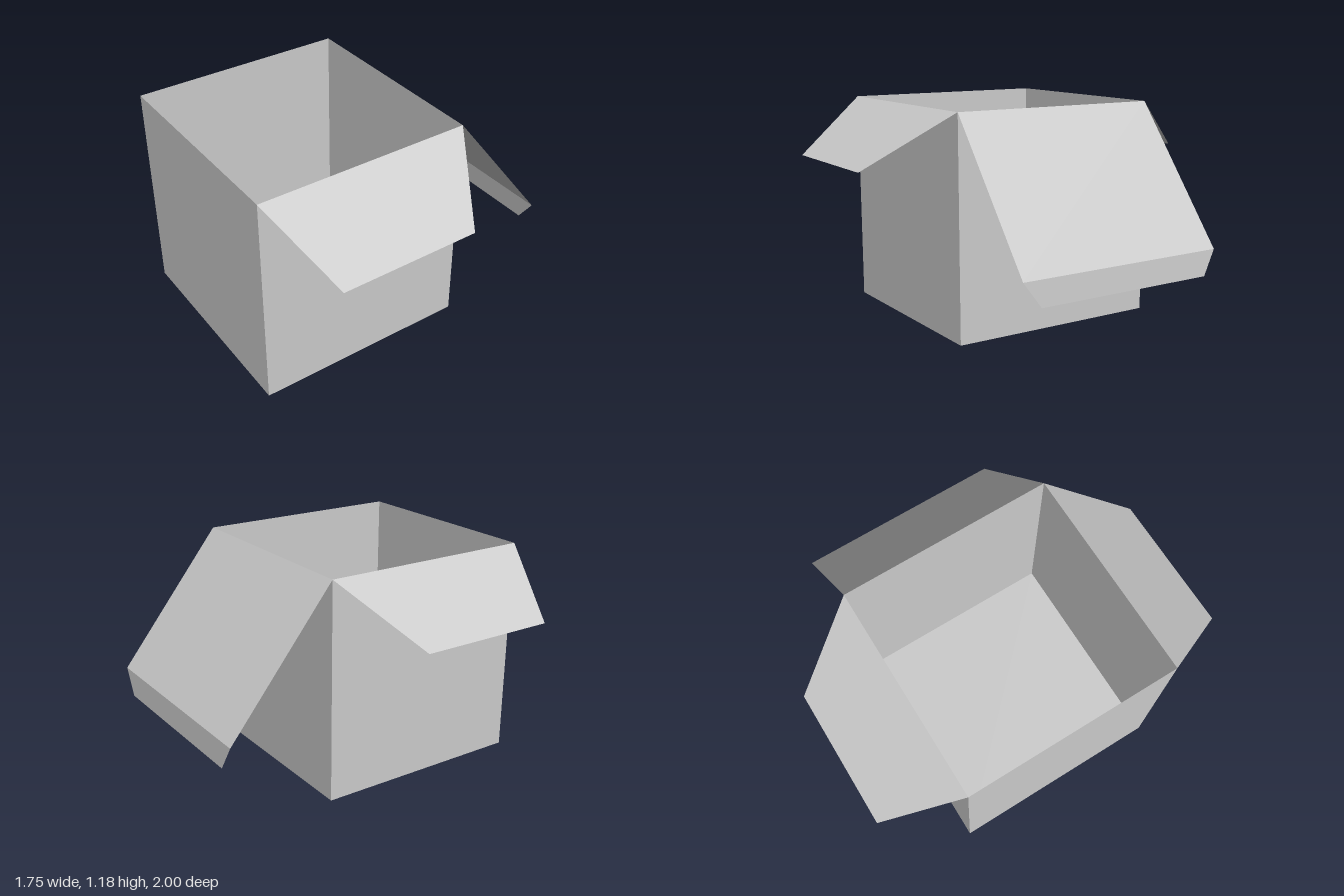
import * as THREE from 'three';

export function createModel() {
  const group = new THREE.Group();
  const material = new THREE.MeshStandardMaterial({
    color: 0xcccccc, flatShading: true, side: THREE.DoubleSide,
  });

  // Thin card panel from four corners, counter-clockwise seen from outside
  function panel(name, a, b, c, d) {
    const geometry = new THREE.BufferGeometry();
    geometry.setAttribute('position',
      new THREE.Float32BufferAttribute([a, b, c, a, c, d].flat(), 3));
    geometry.computeVertexNormals();
    const mesh = new THREE.Mesh(geometry, material);
    mesh.name = name;
    group.add(mesh);
  }

  const L = -0.875, R = 0.292, H = 1.177, D = 0.586;

  // Open carton: floor and four walls
  panel('floor', [L, 0, -D], [R, 0, -D], [R, 0, D], [L, 0, D]);
  panel('frontWall', [L, 0, D], [R, 0, D], [R, H, D], [L, H, D]);
  panel('backWall', [R, 0, -D], [L, 0, -D], [L, H, -D], [R, H, -D]);
  panel('leftWall', [R, 0, D], [R, 0, -D], [R, H, -D], [R, H, D]);
  panel('rightWall', [L, 0, -D], [L, 0, D], [L, H, D], [L, H, -D]);

  // Tapered dust flaps folded outwards at front and back
  const flapY = 0.885, flapL = -0.705, flapR = 0.038;
  panel('frontFlap', [flapL, flapY, 1], [flapR, flapY, 1], [R, H, D], [L, H, D]);
  panel('backFlap', [flapR, flapY, -1], [flapL, flapY, -1], [L, H, -D], [R, H, -D]);

  // Lid hanging from the left edge, with its tapered tuck flap
  const lidX = 0.862, lidY = 0.46, tuckX = 0.872, tuckY = 0.328;
  panel('lid', [lidX, lidY, D], [lidX, lidY, -D], [R, H, -D], [R, H, D]);
  panel('tuckFlap', [tuckX, tuckY, 0.49], [tuckX, tuckY, -0.515],
    [lidX, lidY, -D], [lidX, lidY, D]);

  return group;
}
